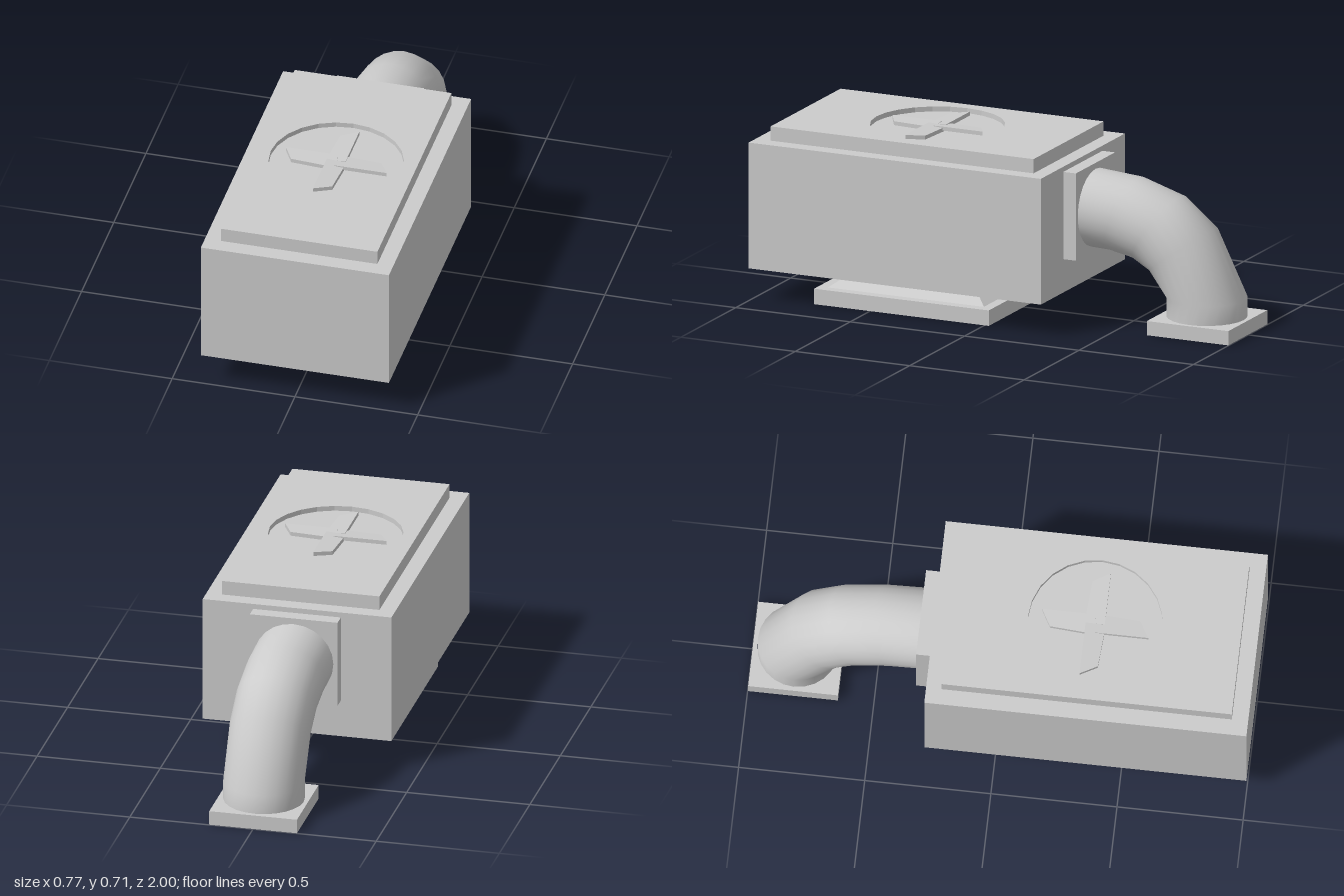
import * as THREE from 'three';

const solid = new THREE.MeshStandardMaterial({ color: 0xcccccc, flatShading: true });
const sheet = new THREE.MeshStandardMaterial({ color: 0xcccccc, flatShading: true, side: THREE.DoubleSide });
const smooth = new THREE.MeshStandardMaterial({ color: 0xcccccc, side: THREE.DoubleSide });

function part(parent, name, geometry, material = solid) {
  const mesh = new THREE.Mesh(geometry, material);
  mesh.name = name;
  parent.add(mesh);
  return mesh;
}

// Box given by its min and max on each axis
function boxFrom(x0, x1, y0, y1, z0, z1) {
  return new THREE.BoxGeometry(x1 - x0, y1 - y0, z1 - z0)
    .translate((x0 + x1) / 2, (y0 + y1) / 2, (z0 + z1) / 2);
}

// Joins closed rings of points into an open skin
function loft(rings) {
  const n = rings[0].length, index = [];
  for (let r = 0; r < rings.length - 1; r++) {
    for (let i = 0; i < n; i++) {
      const a = r * n + i, b = r * n + (i + 1) % n;
      index.push(a, b, a + n, b, b + n, a + n);
    }
  }
  const g = new THREE.BufferGeometry().setFromPoints(rings.flat());
  g.setIndex(index);
  g.computeVertexNormals();
  return g;
}

// Rectangular skin from levels of [half width, half depth, height]
function rectLoft(levels, cz) {
  const corners = [[-1, 1], [1, 1], [1, -1], [-1, -1]];
  const g = loft(levels.map(([hx, hz, y]) =>
    corners.map(([sx, sz]) => new THREE.Vector3(sx * hx, y, cz + sz * hz)))).toNonIndexed();
  g.computeVertexNormals();
  return g;
}

// Rectangle with a round hole, drawn with shape y = -z
function holedPlate(hx, z0, z1, holeZ, radius) {
  const s = new THREE.Shape([[-hx, -z1], [hx, -z1], [hx, -z0], [-hx, -z0]]
    .map(([x, y]) => new THREE.Vector2(x, y)));
  s.holes.push(new THREE.Path().absarc(0, -holeZ, radius, 0, Math.PI * 2, true));
  return s;
}

export function createModel() {
  const model = new THREE.Group();
  model.name = 'ventUnit';

  // Housing and its lid with a round fan well
  part(model, 'housing', boxFrom(-0.383, 0.383, 0.132, 0.645, -0.277, 1));
  const fanZ = 0.358, wellRadius = 0.267;
  const lid = new THREE.ExtrudeGeometry(holedPlate(0.319, -0.215, 0.935, fanZ, wellRadius),
    { depth: 0.058, bevelEnabled: false, curveSegments: 12 });
  part(model, 'lid', lid.rotateX(-Math.PI / 2).translate(0, 0.645, 0));
  part(model, 'fanWellFloor', new THREE.CircleGeometry(wellRadius, 24)
    .rotateX(-Math.PI / 2).translate(0, 0.683, fanZ));

  // Four pitched fan blades
  const fan = new THREE.Group();
  fan.name = 'fan';
  fan.position.set(0, 0.687, fanZ);
  model.add(fan);
  const outline = [[0, -0.038], [0.215, -0.038], [0.176, 0.03], [0.034, 0.04], [0, 0.04]];
  for (let i = 0; i < 4; i++) {
    const g = new THREE.ExtrudeGeometry(
      new THREE.Shape(outline.map(([x, y]) => new THREE.Vector2(x, y))),
      { depth: 0.016, bevelEnabled: false }).rotateX(-Math.PI / 2);
    const p = g.attributes.position;
    for (let k = 0; k < p.count; k++) p.setY(k, p.getY(k) + p.getZ(k) * 0.07);
    g.computeVertexNormals();
    part(fan, 'fanBlade', g).rotation.y = i * Math.PI / 2;
  }

  // Stepped hollow foot, open underneath
  part(model, 'footCollar', rectLoft([
    [0.319, 0.382, 0], [0.319, 0.382, 0.063], [0.278, 0.341, 0.063], [0.234, 0.297, 0.095],
    [0.234, 0.297, 0.129], [0.165, 0.228, 0.129], [0.165, 0.228, 0.132],
  ], 0.363), sheet);

  // Flange on the back wall
  part(model, 'wallFlange', boxFrom(-0.178, 0.178, 0.268, 0.624, -0.332, -0.277));

  // Bent pipe: each ring spans an outer and an inner point [z, y]
  const bends = [
    [-0.332, 0.6, -0.332, 0.288], [-0.52, 0.585, -0.41, 0.285], [-0.7, 0.528, -0.52, 0.263],
    [-0.845, 0.41, -0.588, 0.225], [-0.979, 0.135, -0.659, 0.135], [-0.979, 0.03, -0.659, 0.03],
  ];
  const sides = 24;
  const rings = bends.map(([zo, yo, zi, yi]) => Array.from({ length: sides }, (_, i) => {
    const a = i / sides * Math.PI * 2, c = Math.cos(a) / 2;
    return new THREE.Vector3(-Math.sin(a) * 0.161,
      (yo + yi) / 2 + (yo - yi) * c, (zo + zi) / 2 + (zo - zi) * c);
  }));
  part(model, 'pipe', loft(rings), smooth);

  // Floor flange, an open-bottomed skirt around the pipe end
  const floorFlange = new THREE.Group();
  floorFlange.name = 'floorFlange';
  model.add(floorFlange);
  part(floorFlange, 'flangeSkirt', rectLoft([[0.178, 0.178, 0], [0.178, 0.178, 0.058]], -0.82), sheet);
  part(floorFlange, 'flangeTop', new THREE.ShapeGeometry(
    holedPlate(0.178, -0.998, -0.642, -0.82, 0.16), 12)
    .rotateX(-Math.PI / 2).translate(0, 0.058, 0), sheet);

  return model;
}
